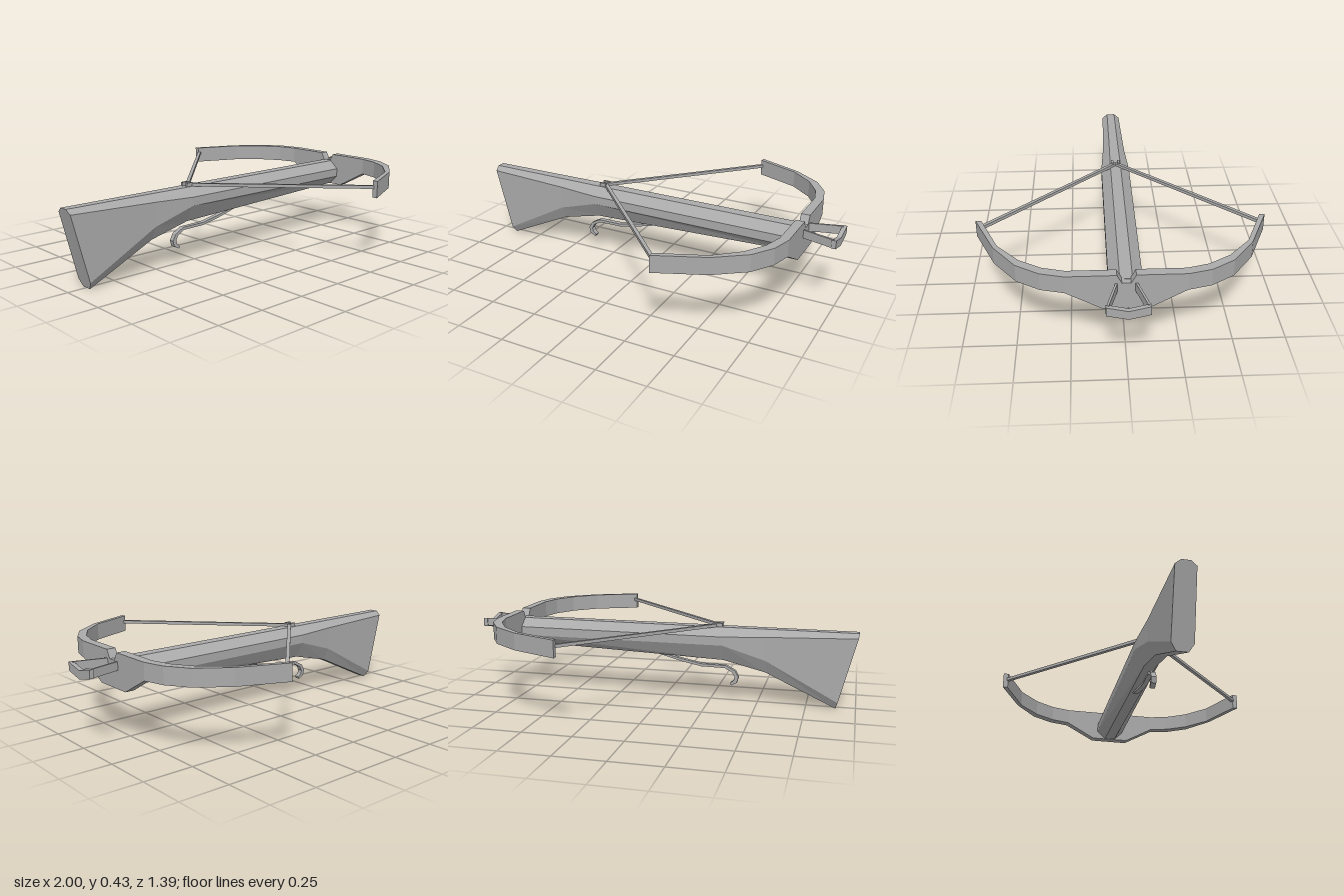
import * as THREE from 'three';

const grey = new THREE.MeshStandardMaterial({ color: 0xaaaaaa, flatShading: true });
grey.name = 'plain grey';

function addMesh(parent, name, geometry) {
  const mesh = new THREE.Mesh(geometry, grey);
  mesh.name = name;
  parent.add(mesh);
  return mesh;
}

// Skin a row of equal-length convex rings and close both ends
function loft(rings) {
  const pos = [];
  const tri = (...pts) => pts.forEach((p) => pos.push(...p));
  const n = rings[0].length;
  for (let r = 0; r < rings.length - 1; r++) {
    const a = rings[r], b = rings[r + 1];
    for (let i = 0; i < n; i++) {
      const j = (i + 1) % n;
      tri(a[i], a[j], b[j]);
      tri(a[i], b[j], b[i]);
    }
  }
  const first = rings[0], last = rings[rings.length - 1];
  for (let i = 1; i < n - 1; i++) {
    tri(first[0], first[i + 1], first[i]);
    tri(last[0], last[i], last[i + 1]);
  }
  const g = new THREE.BufferGeometry();
  g.setAttribute('position', new THREE.Float32BufferAttribute(pos, 3));
  g.computeVertexNormals();
  return g;
}

// Straight square bar between two points
function bar(parent, name, from, to, height, width) {
  const a = new THREE.Vector3(...from), b = new THREE.Vector3(...to);
  const mesh = addMesh(parent, name, new THREE.BoxGeometry(width, height, a.distanceTo(b)));
  mesh.position.copy(a).add(b).multiplyScalar(0.5);
  mesh.lookAt(b);
  return mesh;
}

export function createModel() {
  const model = new THREE.Group();
  model.name = 'crossbow';

  // Stock: each section lists [x, y, half width] from the top edge to the bottom edge
  const stock = [
    [[-1, 0.397, 0.022], [-0.995, 0.375, 0.05], [-0.91, 0.04, 0.052], [-0.9, 0.003, 0.028]],
    [[-0.54, 0.397, 0.025], [-0.54, 0.362, 0.062], [-0.54, 0.24, 0.062], [-0.54, 0.17, 0.028]],
    [[-0.32, 0.397, 0.028], [-0.32, 0.355, 0.077], [-0.32, 0.31, 0.077], [-0.32, 0.224, 0.03]],
    [[0.8, 0.397, 0.028], [0.8, 0.355, 0.077], [0.8, 0.31, 0.077], [0.8, 0.265, 0.03]],
  ];
  addMesh(model, 'stock', loft(stock.map((s) => [
    ...s.map(([x, y, w]) => [x, y, w]),
    ...s.slice().reverse().map(([x, y, w]) => [x, y, -w]),
  ])));

  // Bow: [outer x, outer z, inner x, inner z, top y, bottom y] from the middle to a tip
  const limb = [
    [0.83, 0.02, 0.785, 0.02, 0.395, 0.262],
    [0.83, 0.042, 0.785, 0.042, 0.436, 0.262],
    [0.83, 0.105, 0.785, 0.105, 0.436, 0.262],
    [0.83, 0.268, 0.785, 0.265, 0.436, 0.351],
    [0.802, 0.375, 0.757, 0.365, 0.436, 0.351],
    [0.733, 0.483, 0.692, 0.47, 0.436, 0.351],
    [0.587, 0.592, 0.575, 0.573, 0.436, 0.351],
    [0.348, 0.695, 0.348, 0.668, 0.436, 0.351],
  ];
  const bowRing = ([xo, zo, xi, zi, top, bottom], side) => [
    [xo, top, zo * side], [xi, top, zi * side], [xi, bottom, zi * side], [xo, bottom, zo * side],
  ];
  addMesh(model, 'bow', loft([
    ...limb.slice().reverse().map((s) => bowRing(s, -1)),
    ...limb.map((s) => bowRing(s, 1)),
  ]));

  // String drawn back to the catch, with the catch prongs
  for (const side of [1, -1]) {
    bar(model, 'string', [-0.29, 0.403, 0], [0.36, 0.403, 0.674 * side], 0.016, 0.018);
    const prong = addMesh(model, 'catchProng', new THREE.BoxGeometry(0.038, 0.024, 0.012));
    prong.position.set(-0.293, 0.404, 0.017 * side);
  }

  // Foot stirrup: two splayed arms and a bent cross bar
  const stirrup = new THREE.Group();
  stirrup.name = 'stirrup';
  model.add(stirrup);
  for (const side of [1, -1]) {
    bar(stirrup, 'stirrupArm', [0.815, 0.374, 0.04 * side], [0.985, 0.374, 0.087 * side], 0.042, 0.01);
  }
  const crossRing = (z, top, bottom) => [
    [1, top, z], [0.978, top, z], [0.978, bottom, z], [1, bottom, z],
  ];
  addMesh(stirrup, 'stirrupBar', loft([
    crossRing(-0.095, 0.395, 0.353),
    crossRing(0, 0.373, 0.331),
    crossRing(0.095, 0.395, 0.353),
  ]));

  // Long curled trigger lever under the stock
  const outline = [
    [0.02, 0.24], [-0.1, 0.212], [-0.2, 0.192], [-0.33, 0.19], [-0.38, 0.163], [-0.398, 0.13],
    [-0.39, 0.1], [-0.36, 0.084], [-0.355, 0.096], [-0.373, 0.112], [-0.378, 0.13],
    [-0.364, 0.155], [-0.325, 0.176], [-0.2, 0.178], [-0.1, 0.198], [0.02, 0.23],
  ];
  const trigger = new THREE.ExtrudeGeometry(
    new THREE.Shape(outline.map(([x, y]) => new THREE.Vector2(x, y))),
    { depth: 0.026, bevelEnabled: false },
  );
  trigger.translate(0, 0, -0.013);
  addMesh(model, 'trigger', trigger);

  return model;
}
